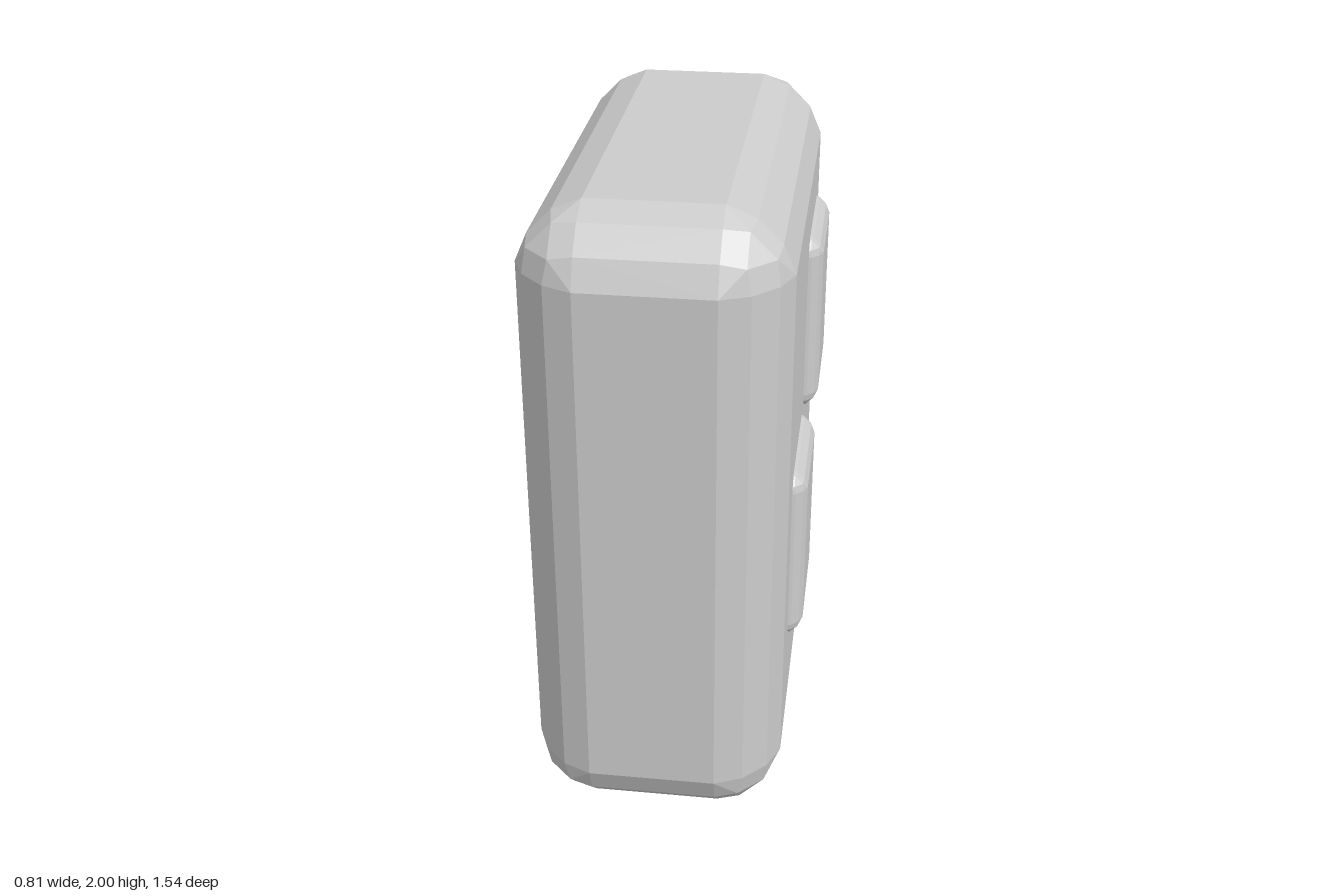
import * as THREE from 'three';
import { ConvexGeometry } from 'three/addons/geometries/ConvexGeometry.js';

const material = new THREE.MeshStandardMaterial({ color: 0xcccccc, flatShading: true });

// Corner points as inset fractions of the bevel width: face corners, edge bevels, corner facets
const insets = [];
for (const [a, b, c] of [[0, 1, 1], [0.19, 0.555, 1], [0.555, 0.19, 1], [0.24, 0.63, 0.63]]) {
  insets.push([a, b, c], [b, c, a], [c, a, b]);
}

// Box whose edges carry a three-segment faceted bevel
function bevelledBox(name, size, bevel, position) {
  const points = [];
  for (const sx of [-1, 1]) for (const sy of [-1, 1]) for (const sz of [-1, 1]) {
    for (const [a, b, c] of insets) {
      points.push(new THREE.Vector3(
        sx * (size[0] / 2 - a * bevel),
        sy * (size[1] / 2 - b * bevel),
        sz * (size[2] / 2 - c * bevel)
      ));
    }
  }
  const mesh = new THREE.Mesh(new ConvexGeometry(points), material);
  mesh.name = name;
  mesh.position.set(...position);
  return mesh;
}

export function createModel() {
  const group = new THREE.Group();
  group.name = 'bevelledBlock';

  // Main block
  group.add(bevelledBox('body', [0.765, 2, 1.54], 0.19, [-0.022, 1, 0]));

  // Two raised pads on the +x side, partly sunk into the block
  group.add(bevelledBox('upperPad', [0.14, 0.6, 0.46], 0.06, [0.334, 1.34, -0.297]));
  group.add(bevelledBox('lowerPad', [0.14, 0.6, 0.46], 0.06, [0.334, 0.775, 0.177]));

  return group;
}
